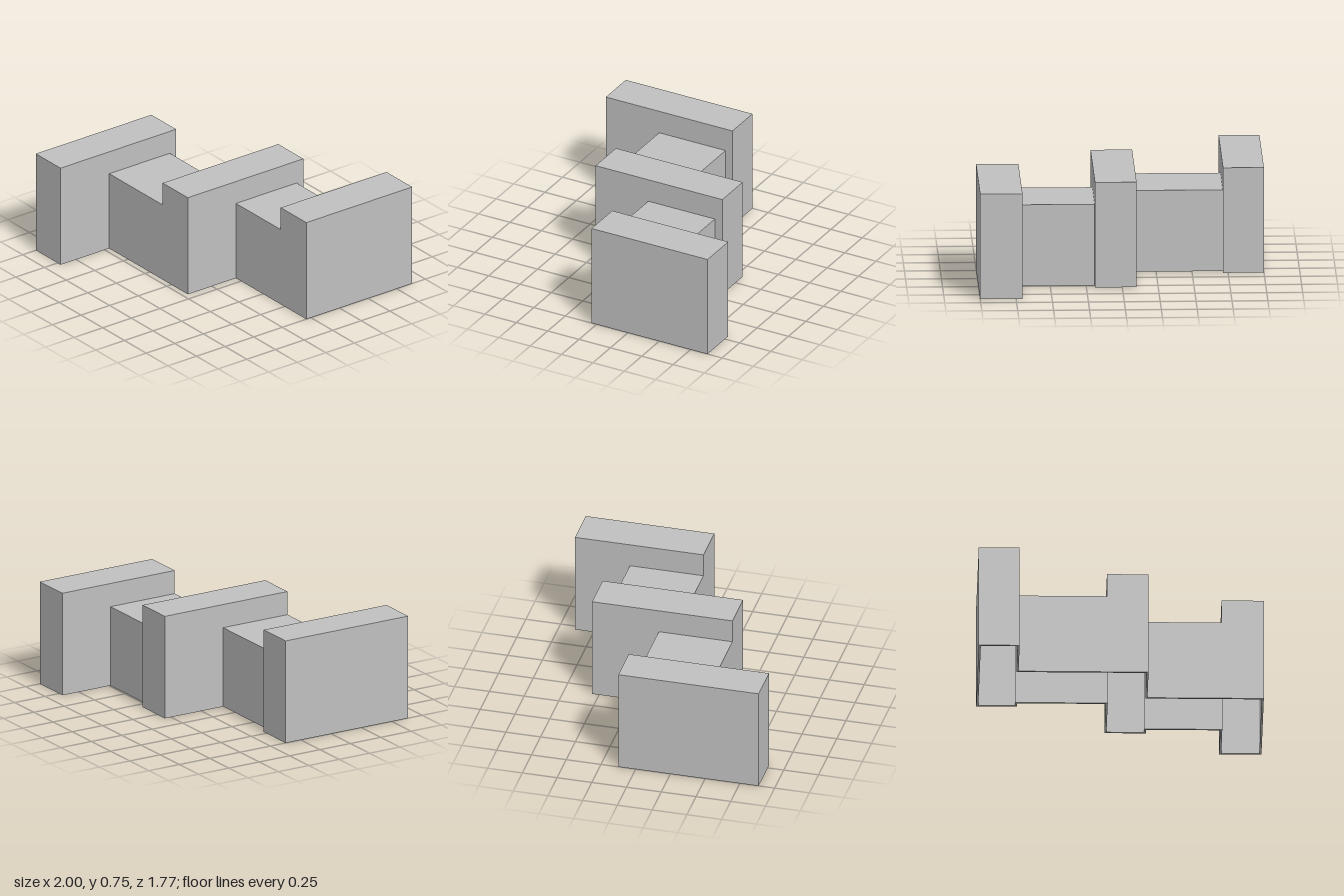
import * as THREE from 'three';

const T = 0.015;      // wall thickness
const LOW = 0.58;     // height of the linking roofs
const HIGH = 0.75;    // height of the raised blocks

// Shrinks a counter-clockwise outline inward by the wall thickness
function inset(points) {
  return points.map((p, i) => {
    const before = points[(i + points.length - 1) % points.length];
    const after = points[(i + 1) % points.length];
    const a = p.clone().sub(before).normalize();
    const b = after.clone().sub(p).normalize();
    return new THREE.Vector2(p.x - (a.y + b.y) * T, p.y + (a.x + b.x) * T);
  });
}

// Upright wall ring following an outline of [x, z] points
function wallRing(outline, bottom, top) {
  const points = outline.map(([x, z]) => new THREE.Vector2(x, -z));
  const shape = new THREE.Shape(points);
  shape.holes.push(new THREE.Path(inset(points)));
  const geometry = new THREE.ExtrudeGeometry(shape, { depth: top - bottom, bevelEnabled: false });
  return geometry.rotateX(-Math.PI / 2).translate(0, bottom, 0);
}

// Thin horizontal slab whose upper face lies at the given height
function slab(x0, x1, z0, z1, top) {
  return new THREE.BoxGeometry(x1 - x0, T, z1 - z0)
    .translate((x0 + x1) / 2, top - T / 2, (z0 + z1) / 2);
}

export function createModel() {
  const model = new THREE.Group();
  model.name = 'steppedShell';
  const grey = new THREE.MeshStandardMaterial({ color: 0xc0c0c0 });
  grey.name = 'grey';

  const add = (name, geometry) => {
    const mesh = new THREE.Mesh(geometry, grey);
    mesh.name = name;
    model.add(mesh);
  };

  // Continuous outer wall, open underneath
  add('outerWall', wallRing([
    [-1, 0.885], [-0.715, 0.885], [-0.715, 0.46], [0.19, 0.46],
    [0.19, 0.04], [1, 0.04], [1, -0.885], [0.705, -0.885],
    [0.705, -0.49], [0.19, -0.49], [0.19, -0.55], [-0.1, -0.55],
    [-0.1, -0.07], [-0.715, -0.07], [-0.715, -0.125], [-1, -0.125],
  ], 0, LOW));

  // Raised blocks: upper rim and lid
  const blocks = [
    ['rightBlock', -1, -0.715, -0.125, 0.885],
    ['middleBlock', -0.1, 0.19, -0.55, 0.46],
    ['leftBlock', 0.705, 1, -0.885, 0.04],
  ];
  for (const [name, x0, x1, z0, z1] of blocks) {
    add(name + 'Rim', wallRing([[x0, z1], [x1, z1], [x1, z0], [x0, z0]], LOW, HIGH));
    add(name + 'Lid', slab(x0 + T, x1 - T, z0 + T, z1 - T, HIGH));
  }

  // Lower roofs linking the blocks, tucked under the rims
  const links = [
    ['rightLinkRoof', -0.715, -0.1, -0.07, 0.46],
    ['leftLinkRoof', 0.19, 0.705, -0.49, 0.04],
  ];
  for (const [name, x0, x1, z0, z1] of links) {
    add(name, slab(x0 - T, x1 + T, z0 + T, z1 - T, LOW));
  }
  return model;
}
